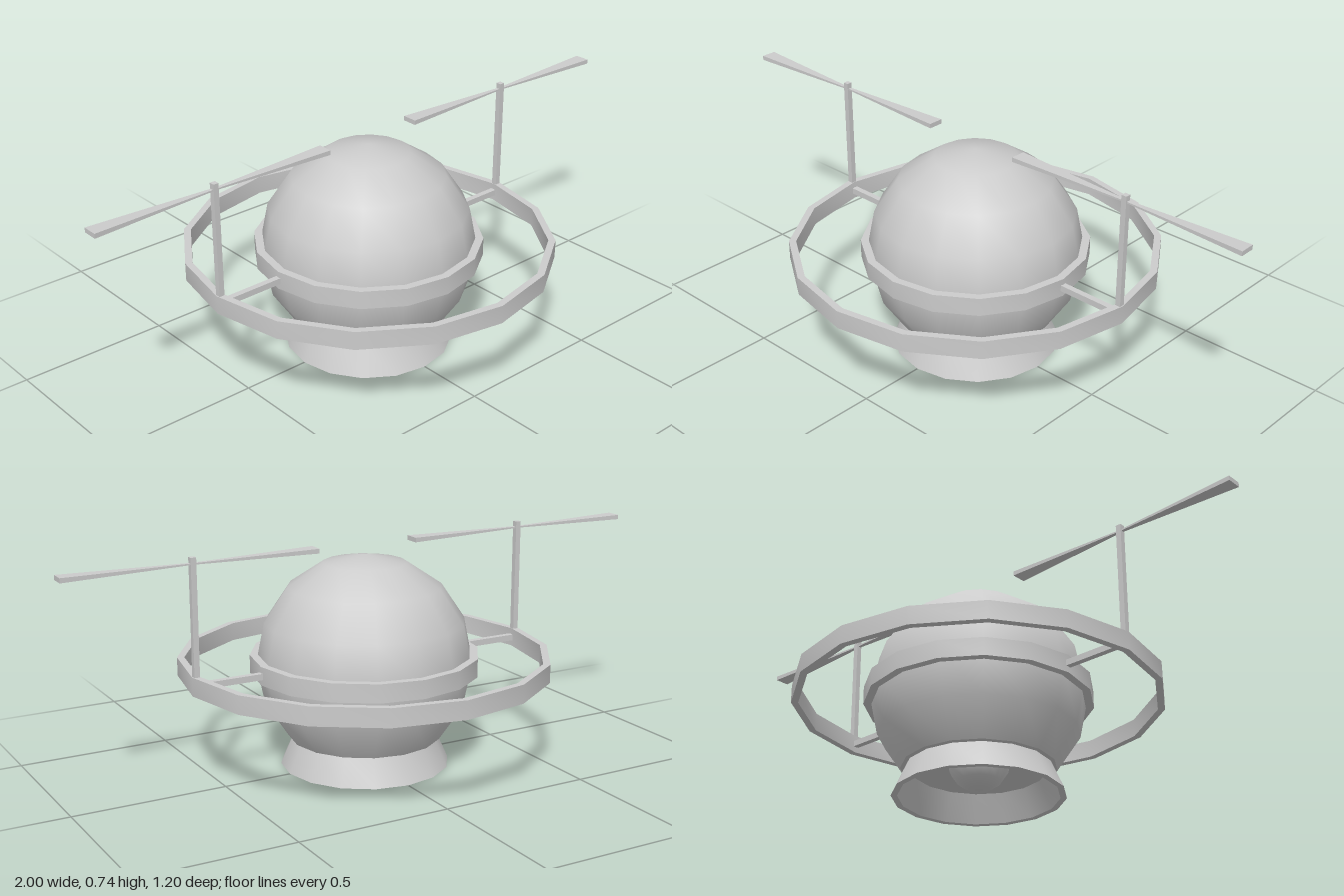
import * as THREE from 'three';
import { toCreasedNormals } from 'three/addons/utils/BufferGeometryUtils.js';

const SIDES = 16;
const MID = 0.34; // height of the ring plane and the sphere centre

export function createModel() {
  const group = new THREE.Group();
  const material = new THREE.MeshStandardMaterial({ color: 0xcccccc });

  const add = (name, geometry, x = 0, y = 0, z = 0) => {
    const mesh = new THREE.Mesh(geometry, material);
    mesh.name = name;
    mesh.position.set(x, y, z);
    group.add(mesh);
    return mesh;
  };

  // Turned part from [radius, height] pairs, outer side running upwards
  const turned = (points) => toCreasedNormals(
    new THREE.LatheGeometry(points.map(([r, y]) => new THREE.Vector2(r, y)), SIDES), 0.6);

  // Upright band with a rectangular section
  const band = (inner, outer, y0, y1) => turned(
    [[outer, y0], [outer, y1], [inner, y1], [inner, y0], [outer, y0]]);

  // Spherical body, cut flat where it meets the base
  const body = [[0, MID - 0.247]];
  for (let i = 2; i <= 8; i++) {
    const a = (i * Math.PI) / 8;
    body.push([i === 8 ? 0 : 0.35 * Math.sin(a), MID - 0.35 * Math.cos(a)]);
  }
  add('body', turned(body));

  // Small dome under the body, inside the hollow base
  add('bottomDome', new THREE.SphereGeometry(0.1, SIDES, 8), 0, 0.12, 0);

  // Flared hollow base
  add('base', turned([[0.275, 0], [0.235, 0.09], [0.215, 0.09], [0.255, 0], [0.275, 0]]));

  // Collar around the body and the wide outer ring
  add('collar', band(0.34, 0.37, 0.31, 0.37));
  add('outerRing', band(0.577, 0.6, 0.31, 0.37));

  // Rotor blade, pinched in width and thickness at the hub
  const blade = new THREE.BoxGeometry(0.826, 0.015, 0.05, 2, 1, 1);
  const p = blade.attributes.position;
  for (let i = 0; i < p.count; i++) {
    if (Math.abs(p.getX(i)) < 0.01) {
      p.setY(i, p.getY(i) * 0.3);
      p.setZ(i, p.getZ(i) * 0.2);
    }
  }
  blade.computeVertexNormals();
  const bladeGeometry = toCreasedNormals(blade, 0.3);

  // Spoke, mast and rotor on each side
  for (const [side, s] of [['left', 1], ['right', -1]]) {
    add(side + 'Spoke', new THREE.BoxGeometry(0.24, 0.02, 0.02), s * 0.465, MID, 0);
    add(side + 'Mast', new THREE.BoxGeometry(0.018, 0.43, 0.018), s * 0.587, 0.525, 0);
    add(side + 'RotorBlade', bladeGeometry, s * 0.587, 0.72, 0);
  }

  return group;
}
